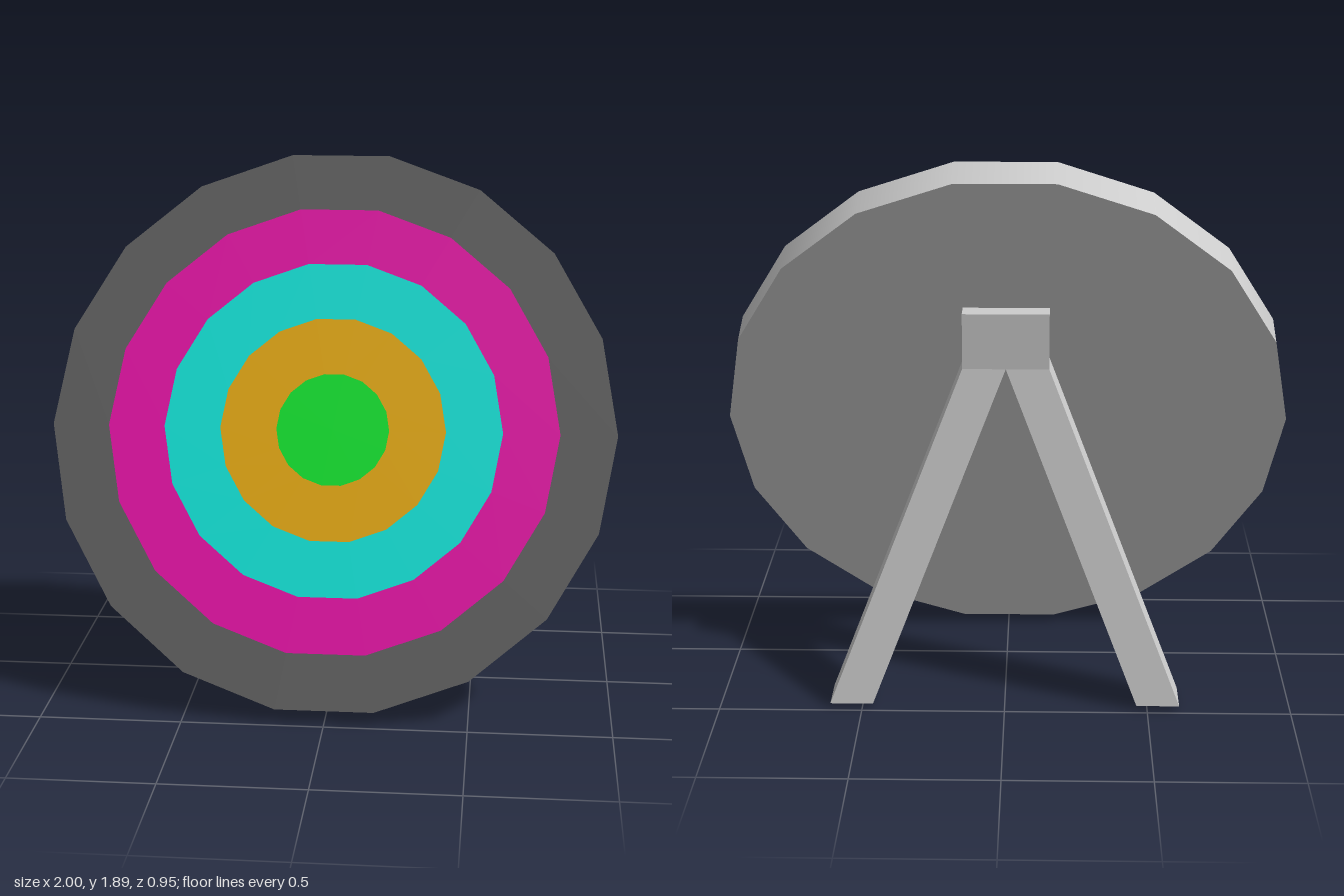
import * as THREE from 'three';

const SIDES = 18;
const DEPTH = 0.139;
const GREY = 0xcccccc;

function add(parent, name, geometry, color = GREY) {
  const mesh = new THREE.Mesh(geometry, new THREE.MeshStandardMaterial({ color }));
  mesh.name = name;
  parent.add(mesh);
  return mesh;
}

// Square bar whose level ends are slid apart: a sheared box between two end centres
function slantedBar(top, bottom, size) {
  const geometry = new THREE.BoxGeometry(size, 1, size).toNonIndexed();
  const p = geometry.attributes.position;
  for (let i = 0; i < p.count; i++) {
    const end = p.getY(i) > 0 ? top : bottom;
    p.setXYZ(i, p.getX(i) + end.x, end.y, p.getZ(i) + end.z);
  }
  geometry.computeVertexNormals();
  return geometry;
}

export function createModel() {
  const model = new THREE.Group();
  model.name = 'target';

  // Round board, leaning back
  const board = new THREE.Group();
  board.name = 'board';
  board.position.set(0, 0.947, 0.0625);
  board.rotation.x = -THREE.MathUtils.degToRad(20.7);
  model.add(board);

  const rim = new THREE.CylinderGeometry(1, 1, DEPTH, SIDES, 1, true, Math.PI / 2);
  add(board, 'rim', rim.rotateX(Math.PI / 2));
  const back = new THREE.CircleGeometry(1, SIDES).rotateY(Math.PI);
  add(board, 'backFace', back).position.z = -DEPTH / 2;

  // Coloured rings on the front, from the outside in
  const rings = [
    ['outerRing', 0x616161],
    ['magentaRing', 0xe810a8],
    ['cyanRing', 0x10e8dc],
    ['orangeRing', 0xe8ac10],
    ['bullseye', 0x10e830],
  ];
  rings.forEach(([name, color], i) => {
    const outer = 1 - 0.2 * i;
    const geometry = i === rings.length - 1
      ? new THREE.CircleGeometry(outer, SIDES)
      : new THREE.RingGeometry(outer - 0.2, outer, SIDES);
    add(board, name, geometry, color).position.z = DEPTH / 2;
  });

  // Rear stand: a head block and two splayed legs
  const stand = new THREE.Group();
  stand.name = 'stand';
  model.add(stand);

  add(stand, 'headBlock', new THREE.BoxGeometry(0.3, 0.195, 0.15)).position.set(0, 1.2775, -0.185);
  for (const side of [1, -1]) {
    const top = new THREE.Vector3(side * 0.075, 1.18, -0.185);
    const foot = new THREE.Vector3(side * 0.5375, 0.015, -0.4);
    add(stand, side > 0 ? 'leftLeg' : 'rightLeg', slantedBar(top, foot, 0.15));
  }

  return model;
}
